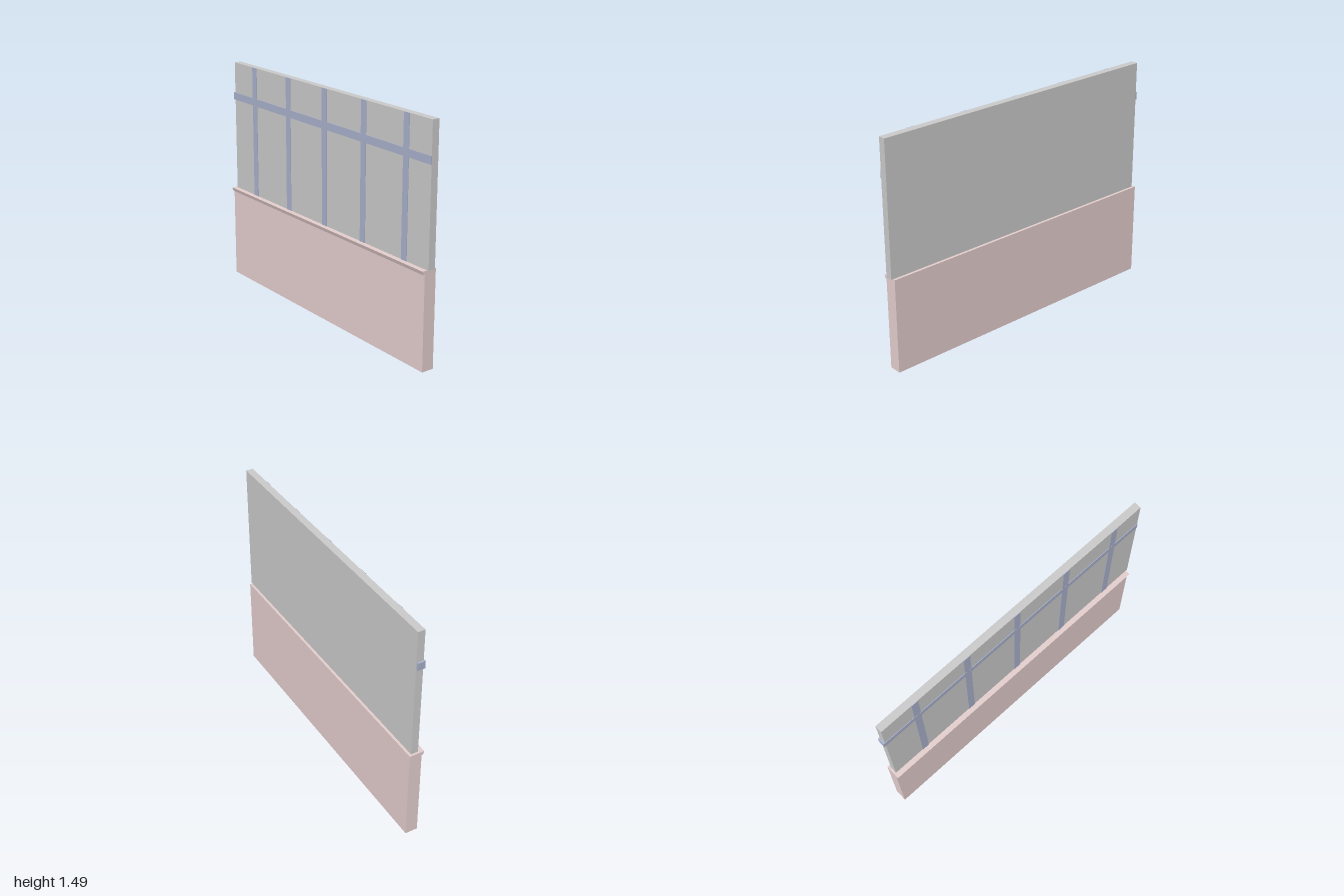
import * as THREE from 'three';

export function createModel() {
  const model = new THREE.Group();
  const grey = new THREE.MeshStandardMaterial({ color: 0xcccccc });
  const pink = new THREE.MeshStandardMaterial({ color: 0xe6cfcf });
  const blue = new THREE.MeshStandardMaterial({ color: 0xaab2cc });

  // Box given by its lower and upper corners
  function box(name, material, [x0, y0, z0], [x1, y1, z1]) {
    const mesh = new THREE.Mesh(new THREE.BoxGeometry(x1 - x0, y1 - y0, z1 - z0), material);
    mesh.name = name;
    mesh.position.set((x0 + x1) / 2, (y0 + y1) / 2, (z0 + z1) / 2);
    model.add(mesh);
  }

  // Lower wall with a sloped sill lip, one profile run along z
  const profile = new THREE.Shape([
    [-0.033, 0], [0.048, 0], [0.048, 0.621], [-0.05, 0.621], [-0.042, 0.597], [-0.033, 0.597],
  ].map(([x, y]) => new THREE.Vector2(x, y)));
  const wall = new THREE.Mesh(
    new THREE.ExtrudeGeometry(profile, { depth: 1.989, bevelEnabled: false }), pink);
  wall.name = 'lowerWallWithSill';
  wall.position.z = -1;
  model.add(wall);

  // Upper panel
  const back = -0.016, top = 1.487, sill = 0.621;
  box('upperPanel', grey, [back, sill, -0.986], [0.031, top, 1]);

  // Upright battens on the -x face
  for (let i = 0; i < 5; i++) {
    const z = -0.745 + i * 0.383;
    box('uprightBatten', blue, [-0.019, sill, z - 0.024], [back, top, z + 0.024]);
  }

  // Horizontal rail, with its end standing out past the panel
  box('rail', blue, [-0.02, 1.235, -0.986], [back, 1.284, 1]);
  box('railEnd', blue, [-0.02, 1.235, -1], [0.027, 1.284, -0.986]);

  return model;
}
